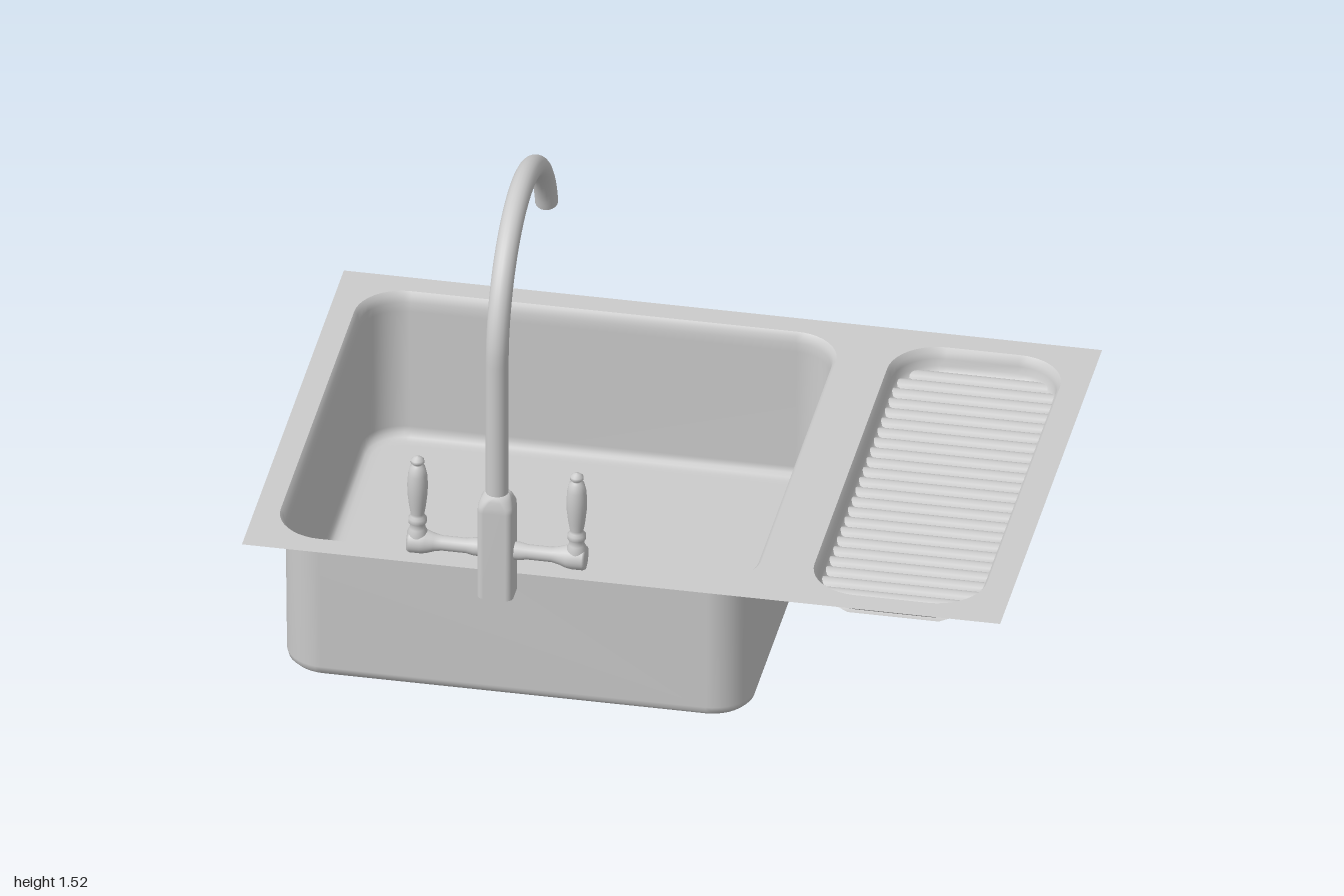
import * as THREE from 'three';

const mat = new THREE.MeshStandardMaterial({ color: 0xcccccc, side: THREE.DoubleSide });

function add(parent, name, geo, x = 0, y = 0, z = 0) {
  const m = new THREE.Mesh(geo, mat);
  m.name = name;
  m.position.set(x, y, z);
  parent.add(m);
  return m;
}

// Rounded rectangle outline as points around the origin
function roundRect(hx, hz, r, seg = 10) {
  const pts = [];
  [[1, 1], [-1, 1], [-1, -1], [1, -1]].forEach(([sx, sz], c) => {
    for (let i = 0; i <= seg; i++) {
      const a = (c + i / seg) * Math.PI / 2;
      pts.push(new THREE.Vector2(sx * (hx - r) + r * Math.cos(a), sz * (hz - r) + r * Math.sin(a)));
    }
  });
  return pts;
}

// Skin through rounded-rectangle sections [halfX, halfZ, radius, y]; optional cap on the last one
function loft(sections, cap) {
  const pos = [], idx = [];
  let n = 0;
  for (const [hx, hz, r, y] of sections) {
    const ring = roundRect(hx, hz, r);
    n = ring.length;
    ring.forEach(p => pos.push(p.x, y, p.y));
  }
  for (let s = 0; s < sections.length - 1; s++) {
    for (let i = 0; i < n; i++) {
      const a = s * n + i, b = s * n + (i + 1) % n;
      idx.push(a, b, a + n, b, b + n, a + n);
    }
  }
  if (cap) {
    const base = (sections.length - 1) * n, centre = pos.length / 3;
    pos.push(0, sections[sections.length - 1][3], 0);
    for (let i = 0; i < n; i++) idx.push(base + i, base + (i + 1) % n, centre);
  }
  const g = new THREE.BufferGeometry();
  g.setAttribute('position', new THREE.Float32BufferAttribute(pos, 3));
  g.setIndex(idx);
  g.computeVertexNormals();
  return g;
}

const lathe = (pts, seg = 24) => new THREE.LatheGeometry(pts.map(p => new THREE.Vector2(...p)), seg);

function createSink() {
  const sink = new THREE.Group();
  sink.name = 'sink';
  const top = 0.432, zc = -0.09;

  // Flat worktop sheet with two openings
  const sheet = new THREE.Shape([[-1, -0.59], [1, -0.59], [1, 0.77], [-1, 0.77]].map(p => new THREE.Vector2(...p)));
  const opening = (cx, hx, hz, r) =>
    sheet.holes.push(new THREE.Path(roundRect(hx, hz, r).map(p => new THREE.Vector2(p.x + cx, p.y - zc)).reverse()));
  opening(-0.3, 0.635, 0.615, 0.125);
  opening(0.7, 0.228, 0.615, 0.13);
  add(sink, 'rimSheet', new THREE.ShapeGeometry(sheet).rotateX(-Math.PI / 2), 0, top, 0);

  // Deep basin with flared lip and rounded bottom edge
  add(sink, 'basin', loft([
    [0.635, 0.615, 0.125, top], [0.626, 0.607, 0.118, 0.422], [0.621, 0.602, 0.113, 0.405], [0.62, 0.6, 0.11, 0.38],
    [0.617, 0.598, 0.11, 0.03], [0.613, 0.594, 0.106, 0.014], [0.604, 0.585, 0.1, 0.004],
    [0.59, 0.571, 0.09, 0], [0.57, 0.551, 0.08, 0],
  ], true), -0.3, 0, zc);

  // Shallow drainer tray wall
  add(sink, 'drainerTray', loft([
    [0.228, 0.615, 0.13, top], [0.22, 0.606, 0.124, 0.42], [0.216, 0.601, 0.12, 0.405],
    [0.213, 0.598, 0.118, 0.385], [0.204, 0.589, 0.11, 0.372], [0.195, 0.58, 0.1, 0.368],
  ]), 0.7, 0, zc);

  // Corrugated drainer floor, narrowed at its rounded ends
  const ribs = 24, halfZ = 0.59, r = 0.1;
  const floor = new THREE.PlaneGeometry(0.44, halfZ * 2, 8, ribs * 10).rotateX(-Math.PI / 2);
  const p = floor.attributes.position;
  for (let i = 0; i < p.count; i++) {
    const z = p.getZ(i);
    const d = Math.max(0, Math.abs(z) - (halfZ - r));
    const half = 0.22 - r + Math.sqrt(Math.max(0, r * r - d * d));
    p.setX(i, p.getX(i) * half / 0.22);
    const wave = Math.abs(Math.sin((z + halfZ) / (2 * halfZ) * ribs * Math.PI));
    p.setY(i, 0.362 + 0.02 * Math.sqrt(wave));
  }
  floor.computeVertexNormals();
  add(sink, 'drainerRibs', floor, 0.7, 0, zc);
  return sink;
}

function createTap() {
  const tap = new THREE.Group();
  tap.name = 'tap';
  tap.position.set(-0.3, 0, 0.725);

  // Squared body tapering into the round pipe
  add(tap, 'tapBodyBase', new THREE.ShapeGeometry(new THREE.Shape(roundRect(0.047, 0.041, 0.018))).rotateX(Math.PI / 2), 0, 0.455, 0);
  add(tap, 'tapBody', loft([
    [0.047, 0.041, 0.018, 0.455], [0.047, 0.041, 0.018, 0.715], [0.046, 0.04, 0.02, 0.73],
    [0.04, 0.036, 0.026, 0.748], [0.031, 0.031, 0.0305, 0.762],
  ], true));

  // Gooseneck spout, open at the tip
  const R = 0.336, yc = 1.155, end = Math.PI * 0.917;
  const path = new THREE.CurvePath();
  path.add(new THREE.LineCurve3(new THREE.Vector3(0, 0.74, 0), new THREE.Vector3(0, yc, 0)));
  const arc = [];
  for (let i = 0; i <= 24; i++) {
    const a = end * i / 24;
    arc.push(new THREE.Vector3(0, yc + R * Math.sin(a), -R + R * Math.cos(a)));
  }
  path.add(new THREE.CatmullRomCurve3(arc));
  add(tap, 'spout', new THREE.TubeGeometry(path, 90, 0.03, 20));
  const lining = new THREE.CatmullRomCurve3(arc.slice(-4));
  add(tap, 'spoutLining', new THREE.TubeGeometry(lining, 10, 0.021, 20));
  const tip = arc[arc.length - 1];
  const ring = add(tap, 'spoutTip', new THREE.RingGeometry(0.021, 0.03, 20), tip.x, tip.y, tip.z);
  ring.quaternion.setFromUnitVectors(new THREE.Vector3(0, 0, 1), lining.getTangent(1));

  // Mirrored side arms with turned lever handles
  for (const side of [1, -1]) {
    const arm = lathe([[0.024, 0.03], [0.024, 0.06], [0.02, 0.08], [0.02, 0.145], [0.024, 0.165], [0.031, 0.185],
      [0.033, 0.2], [0.033, 0.228], [0.03, 0.235], [0, 0.235]]).rotateZ(-side * Math.PI / 2);
    add(tap, side > 0 ? 'leftArm' : 'rightArm', arm, 0, 0.587, 0);
    const handle = lathe([[0.027, 0.59], [0.027, 0.615], [0.021, 0.627], [0.019, 0.64], [0.024, 0.645], [0.024, 0.658],
      [0.018, 0.664], [0.018, 0.672], [0.022, 0.695], [0.026, 0.73], [0.027, 0.76], [0.025, 0.79], [0.02, 0.812],
      [0.012, 0.818], [0.012, 0.822], [0.018, 0.826], [0.017, 0.834], [0.009, 0.841], [0, 0.844]]);
    add(tap, side > 0 ? 'leftHandle' : 'rightHandle', handle, side * 0.21, 0, 0);
  }
  return tap;
}

export function createModel() {
  const model = new THREE.Group();
  model.name = 'kitchenSink';
  model.add(createSink(), createTap());
  return model;
}
